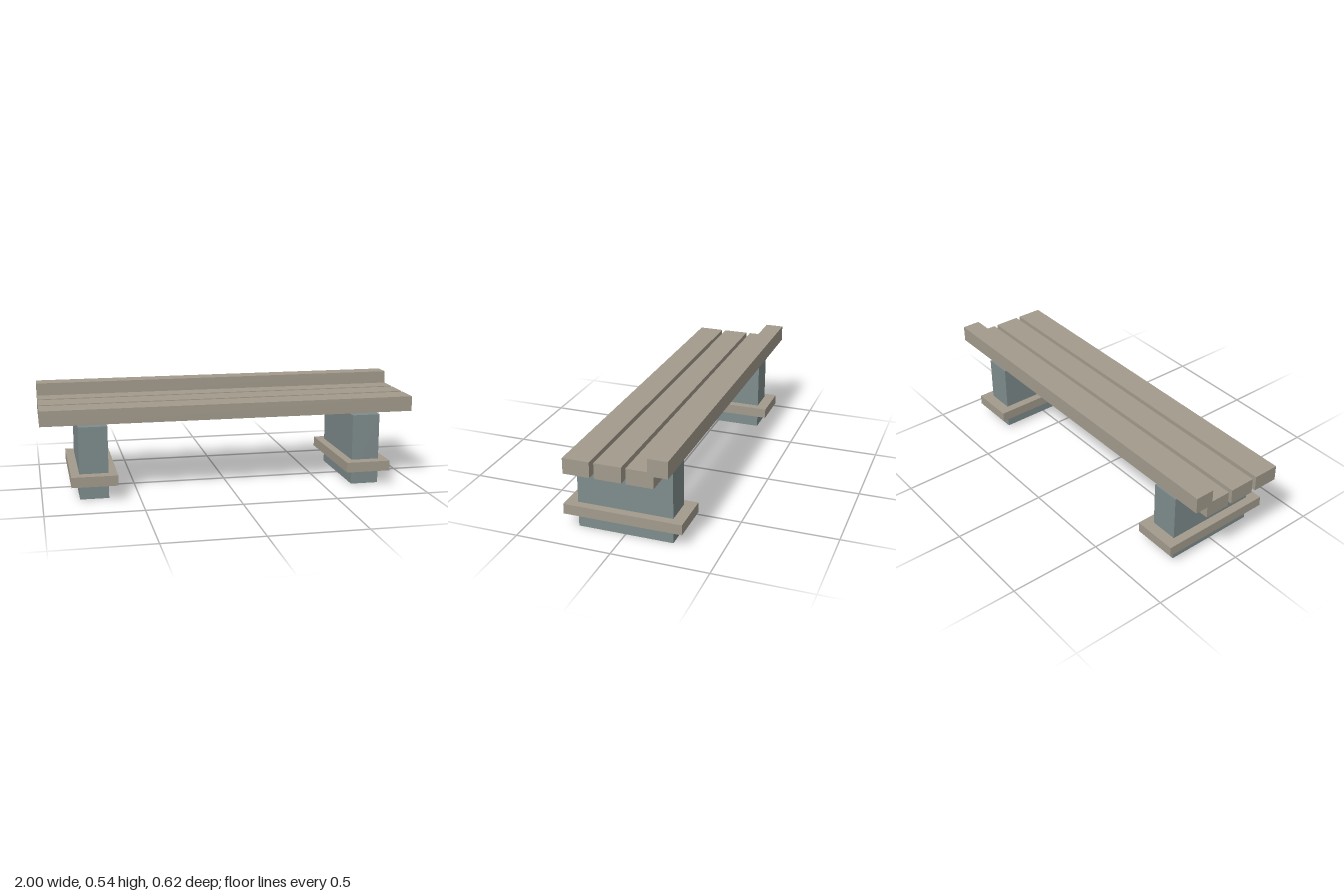
import * as THREE from 'three';

export function createModel() {
  const group = new THREE.Group();
  group.name = 'bench';
  const wood = new THREE.MeshStandardMaterial({ name: 'weathered wood', color: 0xa39b8d });
  const stone = new THREE.MeshStandardMaterial({ name: 'grey stone', color: 0x7f8c8d });

  // Box given by its x centre and width, y range and z range
  function box(name, material, x, width, y0, y1, z0, z1) {
    const mesh = new THREE.Mesh(new THREE.BoxGeometry(width, y1 - y0, z1 - z0), material);
    mesh.position.set(x, (y0 + y1) / 2, (z0 + z1) / 2);
    mesh.name = name;
    group.add(mesh);
  }

  // Three seat planks with gaps between them
  [['front', 0.16], ['middle', 0], ['rear', -0.159]].forEach(([place, z]) =>
    box(place + 'SeatPlank', wood, 0, 2, 0.387, 0.468, z - 0.0685, z + 0.0685));

  // Raised beam along the back edge
  box('backBeam', wood, 0, 2, 0.448, 0.535, -0.297, -0.197);

  // Pier legs, each with a wooden collar near the ground
  for (const [side, s] of [['left', 1], ['right', -1]]) {
    box(side + 'Leg', stone, s * 0.733, 0.15, 0, 0.381, -0.25, 0.251);
    box(side + 'LegCollar', wood, s * 0.733, 0.24, 0.081, 0.135, -0.31, 0.311);
  }
  return group;
}
